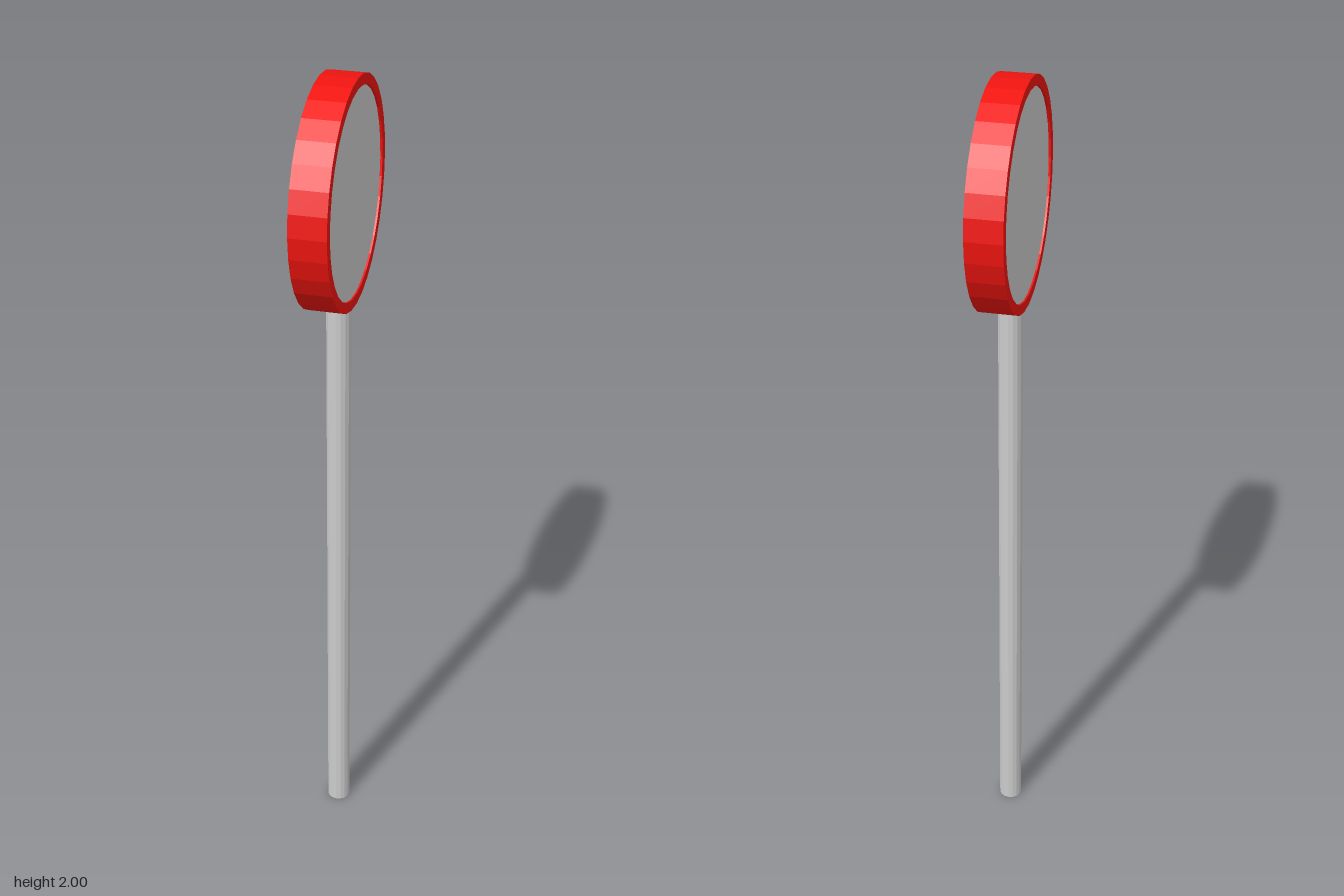
import * as THREE from 'three';

const grey = new THREE.MeshStandardMaterial({ color: 0xcccccc, flatShading: true });
const red = new THREE.MeshStandardMaterial({ color: 0xf01510, flatShading: true });

const SIDES = 32;
const CENTRE_Y = 1.742;
const HALF_DEPTH = 0.042;

function addPart(group, name, geometry, material) {
  const mesh = new THREE.Mesh(geometry, material);
  mesh.name = name;
  group.add(mesh);
  return mesh;
}

export function createModel() {
  const model = new THREE.Group();
  model.name = 'roundSign';

  // Post, running up into the lower part of the rim
  const postTop = 1.5;
  const post = new THREE.CylinderGeometry(0.029, 0.029, postTop, 16);
  post.translate(0, postTop / 2, 0);
  addPart(model, 'post', post, grey);

  // Sign head, with its round faces turned towards +x and -x
  const head = new THREE.Group();
  head.name = 'signHead';
  head.position.y = CENTRE_Y;
  model.add(head);

  // Rim: a rectangular section swept round the x axis
  const inner = 0.234, outer = 0.258;
  const section = [
    [inner, -HALF_DEPTH], [outer, -HALF_DEPTH], [outer, HALF_DEPTH],
    [inner, HALF_DEPTH], [inner, -HALF_DEPTH],
  ].map(([r, y]) => new THREE.Vector2(r, y));
  const rim = new THREE.LatheGeometry(section, SIDES);
  rim.rotateZ(Math.PI / 2);
  rim.scale(1, 1, 1.013);
  addPart(head, 'rim', rim, red);

  // Panel, set just inside the rim on both faces
  const panel = new THREE.CylinderGeometry(inner, inner, (HALF_DEPTH - 0.004) * 2, SIDES);
  panel.rotateZ(Math.PI / 2);
  panel.scale(1, 1, 0.99);
  addPart(head, 'panel', panel, grey);

  return model;
}
